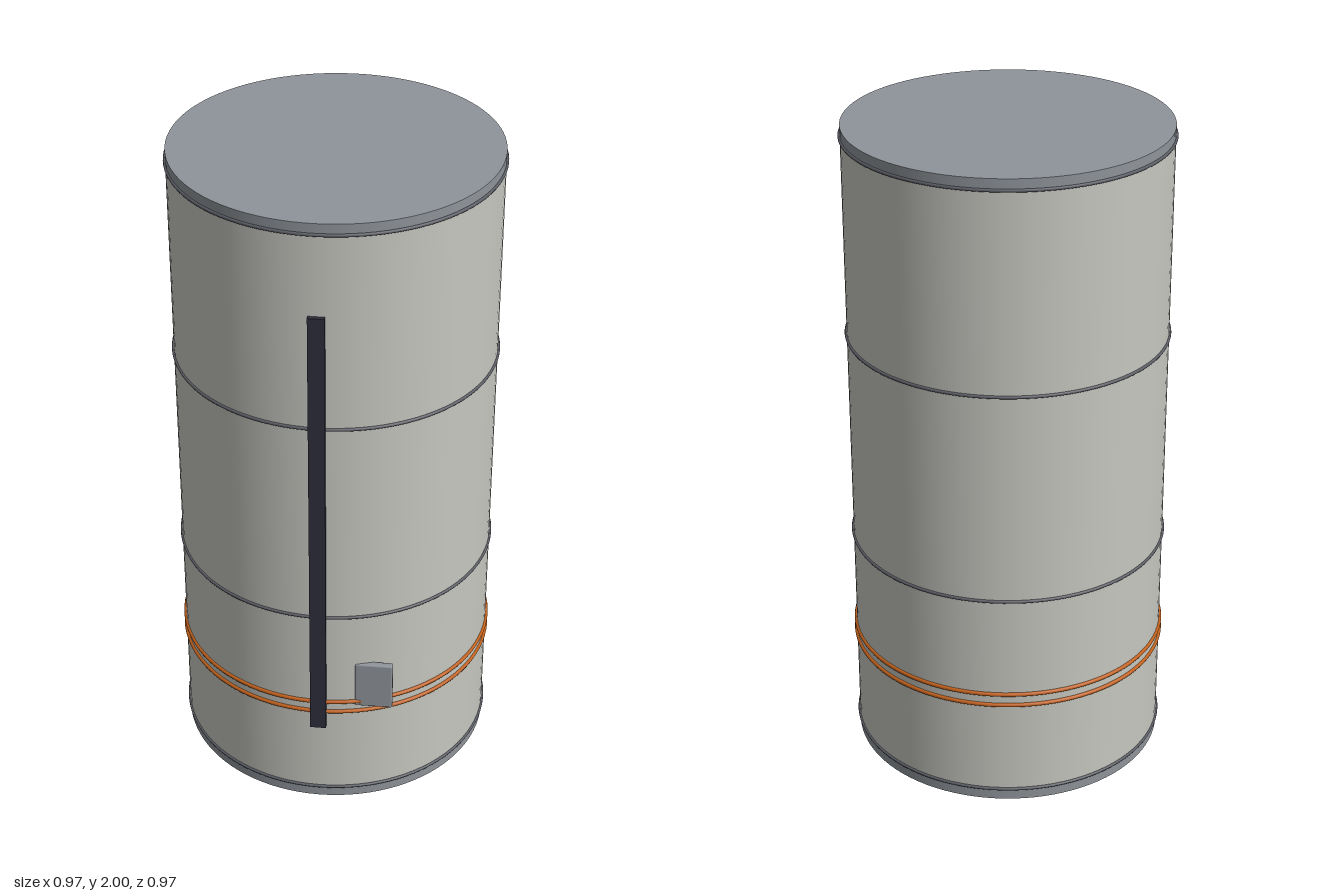
import * as THREE from 'three';
import { RoundedBoxGeometry } from 'three/addons/geometries/RoundedBoxGeometry.js';

const material = (name, color) => {
  const m = new THREE.MeshStandardMaterial({ color });
  m.name = name;
  return m;
};

export function createModel() {
  const model = new THREE.Group();
  model.name = 'tank';
  const shellPaint = material('pale grey', 0xc6c7c0);
  const capMetal = material('blue grey', 0x8f949a);
  const seamMetal = material('dark grey', 0x5c5e66);
  const orange = material('orange', 0xc4621c);
  const stripPaint = material('dark navy', 0x2c2d3a);

  const R = 0.477, Z = -0.003;
  const add = (name, geometry, mat, x, y, z) => {
    const mesh = new THREE.Mesh(geometry, mat);
    mesh.name = name;
    mesh.position.set(x, y, z);
    model.add(mesh);
    return mesh;
  };

  // Shell and its two end caps
  add('shell', new THREE.CylinderGeometry(R, R, 1.93, 96, 1, true), shellPaint, 0, 1.002, Z);
  add('bottomCap', new THREE.CylinderGeometry(R, R, 0.037, 96), capMetal, 0, 0.0185, Z);
  add('topCap', new THREE.CylinderGeometry(R, R, 0.033, 96), capMetal, 0, 1.9835, Z);

  // Thin hoops around the shell
  const hoop = (name, y, tube, mat) => {
    const ring = add(name, new THREE.TorusGeometry(R + 0.001, tube, 8, 96), mat, 0, y, Z);
    ring.rotation.x = Math.PI / 2;
  };
  [0.037, 0.70, 1.36, 1.967].forEach((y) => hoop('seam', y, 0.005, seamMetal));
  [0.342, 0.379].forEach((y) => hoop('orangeBand', y, 0.0065, orange));

  // Level strip and small plate on the front
  add('levelStrip', new THREE.BoxGeometry(0.048, 1.435, 0.014), stripPaint, 0, 1.0025, 0.480);
  add('plate', new RoundedBoxGeometry(0.114, 0.16, 0.021, 3, 0.006), capMetal, 0.165, 0.442, 0.4525);

  return model;
}
